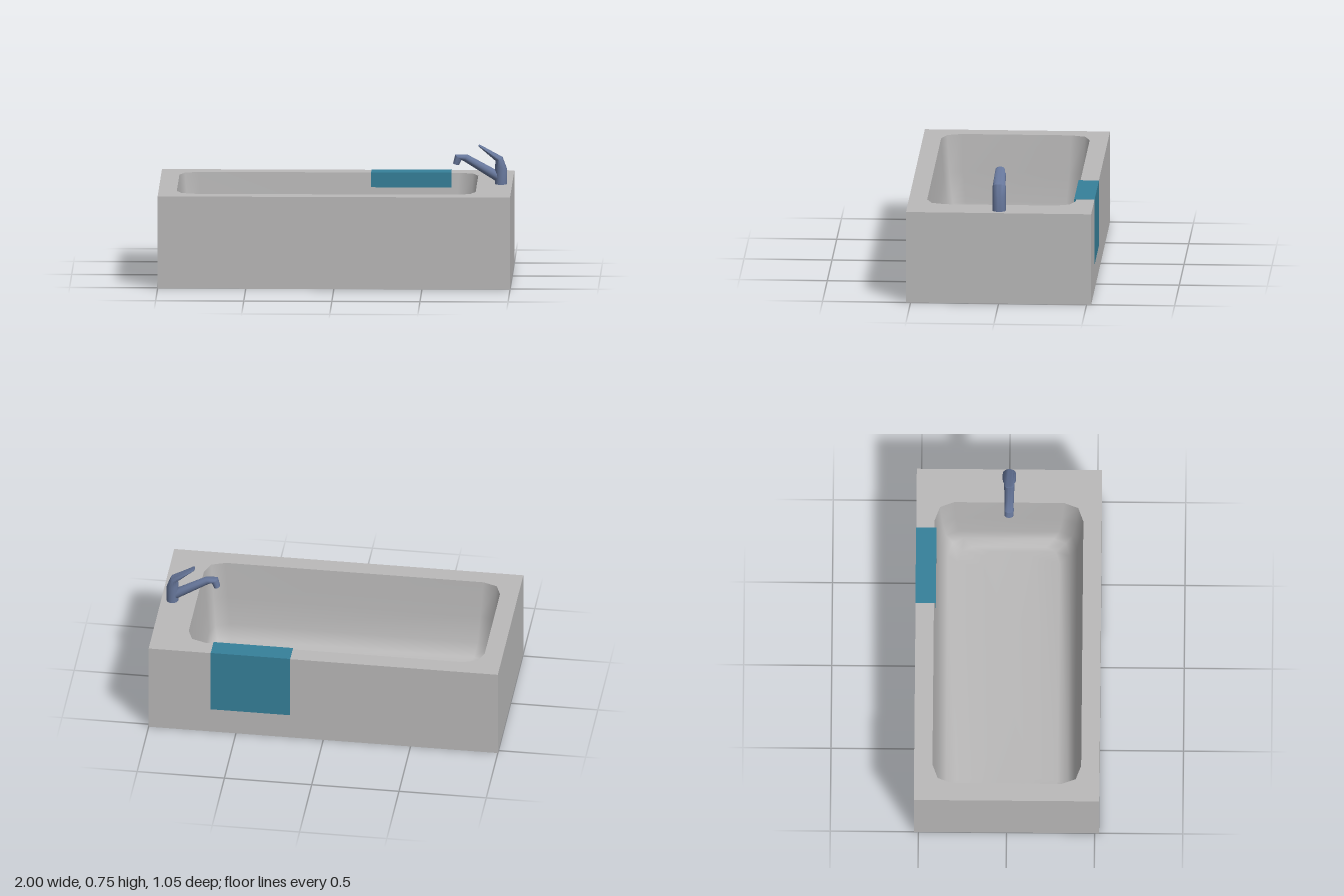
import * as THREE from 'three';
import { toCreasedNormals } from 'three/addons/utils/BufferGeometryUtils.js';

const V = (x, y, z) => new THREE.Vector3(x, y, z);

// Skin a list of closed rings; optionally close the last ring with a fan
function loft(rings, cap = true) {
  const n = rings[0].length;
  const pts = rings.flat();
  const index = [];
  for (let i = 0; i < rings.length - 1; i++) {
    for (let j = 0; j < n; j++) {
      const k = (j + 1) % n;
      const a = i * n + j, b = i * n + k;
      index.push(a, b, b + n, a, b + n, a + n);
    }
  }
  if (cap) {
    const last = rings[rings.length - 1];
    const centre = last.reduce((s, p) => s.add(p), V(0, 0, 0)).divideScalar(n);
    const start = (rings.length - 1) * n;
    for (let j = 0; j < n; j++) index.push(pts.length, start + j, start + (j + 1) % n);
    pts.push(centre);
  }
  const geo = new THREE.BufferGeometry().setFromPoints(pts);
  geo.setIndex(index);
  geo.computeVertexNormals();
  return geo;
}

// Elliptical section spanning a to b in the xy plane, with half width w in z
function section([ax, ay, bx, by, w], sides = 14) {
  return Array.from({ length: sides }, (_, i) => {
    const t = (i / sides) * Math.PI * 2;
    const s = Math.sin(t) / 2;
    return V((ax + bx) / 2 + (bx - ax) * s, (ay + by) / 2 + (by - ay) * s, w * Math.cos(t));
  });
}

export function createModel() {
  const group = new THREE.Group();
  const material = (name, color) => {
    const m = new THREE.MeshStandardMaterial({ color, side: THREE.DoubleSide });
    m.name = name;
    return m;
  };
  const enamel = material('grey enamel', 0xbab9b9);
  const cloth = material('teal cloth', 0x36809a);
  const metal = material('blue grey metal', 0x66769a);

  const add = (name, geo, mat, parent = group) => {
    const mesh = new THREE.Mesh(geo, mat);
    mesh.name = name;
    parent.add(mesh);
    return mesh;
  };

  const H = 0.528, D = 0.526, BASIN_X = -0.048;

  // Outer side panels, open underneath
  const box = y => [V(1, y, D), V(1, y, -D), V(-1, y, -D), V(-1, y, D)];
  add('sidePanels', toCreasedNormals(loft([box(0), box(H)], false), 0.5), enamel);

  // Basin outline: a rectangle with two-step chamfered corners
  const corner = [[0.737, 0.422], [0.818, 0.392], [0.848, 0.312]];
  const reversed = [...corner].reverse();
  const outline = [
    ...corner,
    ...reversed.map(([x, z]) => [x, -z]),
    ...corner.map(([x, z]) => [-x, -z]),
    ...reversed.map(([x, z]) => [-x, z]),
  ];
  const basinRing = ([sx, sz, y]) => outline.map(([x, z]) => V(x * sx + BASIN_X, y, z * sz));

  // Flat rim around the basin
  const rim = new THREE.Shape([[-1, -D], [1, -D], [1, D], [-1, D]]
    .map(([x, y]) => new THREE.Vector2(x, y)));
  rim.holes.push(new THREE.Path(outline.map(([x, z]) => new THREE.Vector2(x + BASIN_X, -z))));
  const rimGeo = new THREE.ShapeGeometry(rim);
  rimGeo.rotateX(-Math.PI / 2);
  rimGeo.translate(0, H, 0);
  add('rim', rimGeo, enamel);

  // Basin: x scale, z scale and height of each ring, from rim to nearly flat floor
  add('basin', loft([
    [1, 1, H],
    [0.98, 0.965, 0.31],
    [0.963, 0.915, 0.14],
    [0.943, 0.82, 0.067],
    [0.89, 0.68, 0.046],
    [0.86, 0.33, 0.038],
  ].map(basinRing)), enamel);

  // Thin towel draped over the back rim
  const towel = new THREE.Group();
  towel.name = 'towel';
  group.add(towel);
  const panel = (name, y0, y1, z0, z1) => {
    const geo = new THREE.BoxGeometry(0.455, y1 - y0, z1 - z0);
    geo.translate(0.417, (y0 + y1) / 2, (z0 + z1) / 2);
    add(name, geo, cloth, towel);
  };
  panel('towelTop', H, H + 0.002, -D - 0.001, -0.411);
  panel('towelBack', 0.15, H, -D - 0.001, -D);
  panel('towelInside', 0.445, H, -0.414, -0.411);

  // Tap: upright body running into the lever, and a spout bent down at the end
  const tap = new THREE.Group();
  tap.name = 'tap';
  group.add(tap);
  const tube = (name, rows) =>
    add(name, toCreasedNormals(loft(rows.map(r => section(r))), 0.7), metal, tap);
  tube('tapBodyAndLever', [
    [0.902, H, 0.971, H, 0.038],
    [0.902, 0.635, 0.971, 0.615, 0.038],
    [0.906, 0.66, 0.946, 0.682, 0.037],
    [0.818, 0.736, 0.825, 0.748, 0.027],
    [0.809, 0.744, 0.811, 0.754, 0.02],
  ]);
  tube('spout', [
    [0.935, 0.532, 0.94, 0.59, 0.03],
    [0.906, 0.545, 0.917, 0.604, 0.03],
    [0.724, 0.659, 0.746, 0.696, 0.026],
    [0.714, 0.666, 0.676, 0.696, 0.027],
    [0.698, 0.636, 0.664, 0.646, 0.025],
  ]);

  return group;
}
